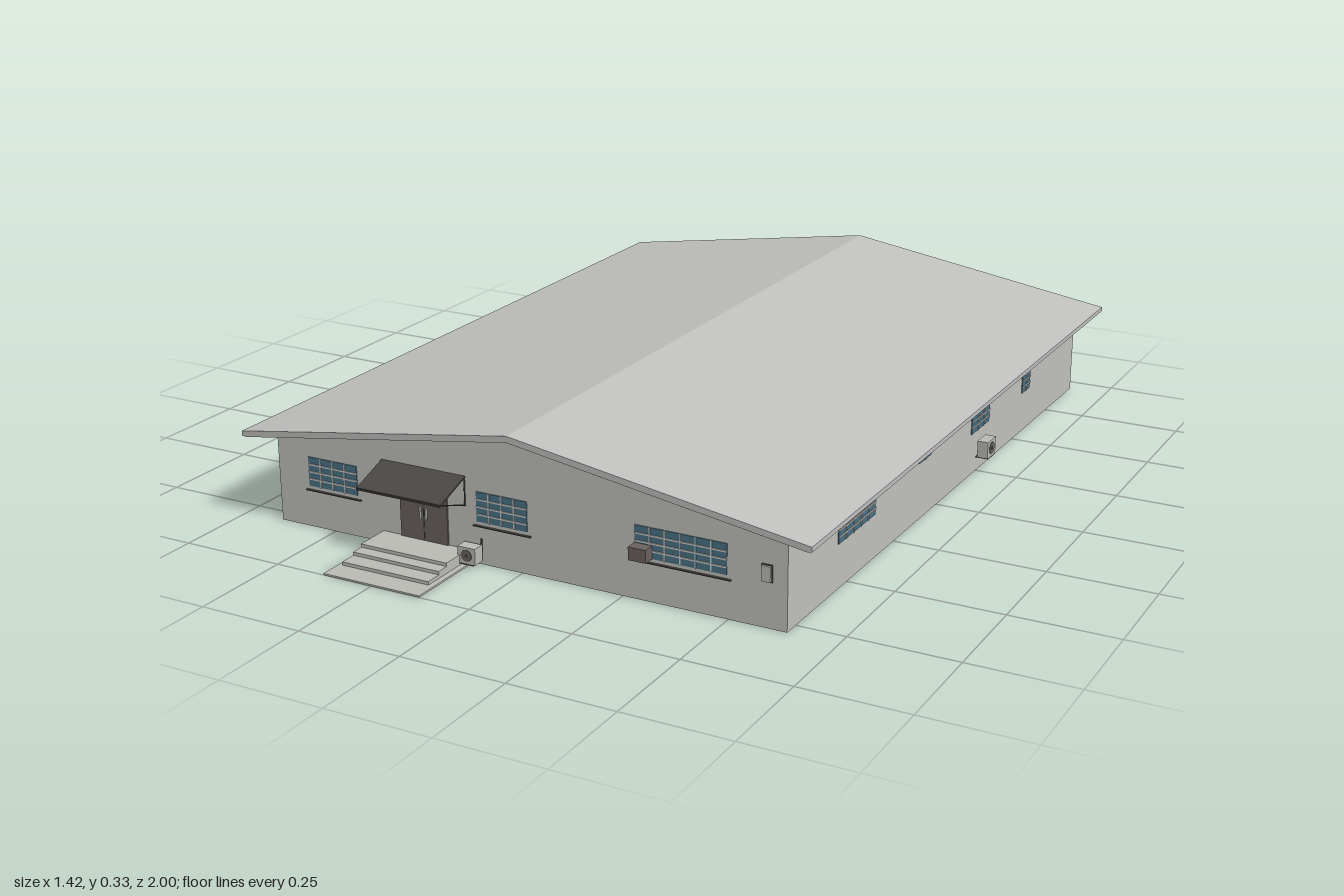
import * as THREE from 'three';

const mat = (name, color) => new THREE.MeshStandardMaterial({ name, color });

export function createModel() {
  const M = {
    wall: mat('wall grey', 0xc3c3bf),
    roof: mat('roof grey', 0xc2c2c1),
    glass: mat('window blue', 0x4a7488),
    frame: mat('frame light grey', 0xcfd0cc),
    door: mat('door brown', 0x6b6460),
    dark: mat('dark metal', 0x4c4846),
    unit: mat('cooler grey', 0xbdbdb8),
  };
  const model = new THREE.Group();
  const FRONT = 0.79, BACK = -0.945, LEFT = 0.635, TAPER = 0.0098;

  const add = (parent, name, geo, material, x = 0, y = 0, z = 0) => {
    const m = new THREE.Mesh(geo, material);
    m.name = name;
    m.position.set(x, y, z);
    parent.add(m);
    return m;
  };
  // Box given by its limits on each axis
  const box = (parent, name, material, x0, x1, y0, y1, z0, z1) =>
    add(parent, name, new THREE.BoxGeometry(x1 - x0, y1 - y0, z1 - z0), material,
      (x0 + x1) / 2, (y0 + y1) / 2, (z0 + z1) / 2);
  // Thin rod between two points
  const rod = (parent, name, a, b, r = 0.0015) => {
    const p = new THREE.Vector3(...a), q = new THREE.Vector3(...b);
    const m = add(parent, name, new THREE.CylinderGeometry(r, r, p.distanceTo(q), 6), M.dark);
    m.position.copy(p).add(q).multiplyScalar(0.5);
    m.quaternion.setFromUnitVectors(new THREE.Vector3(0, 1, 0), q.sub(p).normalize());
  };
  const prism = (points, depth) => new THREE.ExtrudeGeometry(
    new THREE.Shape(points.map(p => new THREE.Vector2(...p))), { depth, bevelEnabled: false });

  // Gabled walls; the +x wall tapers in toward the front
  const walls = prism([[-0.65, 0], [0.652, 0], [0.652, 0.217], [0, 0.318], [-0.65, 0.217]], FRONT - BACK);
  walls.translate(0, 0, BACK);
  const pos = walls.attributes.position;
  for (let i = 0; i < pos.count; i++)
    if (pos.getX(i) > 0.6 && pos.getZ(i) > 0) pos.setX(i, LEFT);
  walls.computeVertexNormals();
  add(model, 'walls', walls, M.wall);

  // Overhanging roof
  const roof = prism([[-0.71, 0.212], [-0.7, 0.21], [0, 0.318], [0.7, 0.21], [0.71, 0.212],
    [0.71, 0.223], [0, 0.333], [-0.71, 0.223]], 1.84);
  add(model, 'roof', roof, M.roof, 0, 0, -1);

  // Wall-mounted frames of reference: local +z points out of the wall
  const onWall = (name, side, along, y) => {
    const g = new THREE.Group();
    g.name = name;
    if (side === 'front') g.position.set(along, y, FRONT);
    if (side === 'back') { g.position.set(along, y, BACK); g.rotation.y = Math.PI; }
    if (side === 'left') {
      g.position.set(LEFT + (FRONT - along) * TAPER, y, along);
      g.rotation.y = Math.PI / 2 - TAPER;
    }
    if (side === 'right') { g.position.set(-0.65, y, along); g.rotation.y = -Math.PI / 2; }
    model.add(g);
    return g;
  };

  // Barred windows: glass plate with a light grid
  const makeWindow = (side, a, b, cols, rows = 4, y0 = 0.1, y1 = 0.17) => {
    const w = b - a, h = y1 - y0;
    const g = onWall('window', side, (a + b) / 2, (y0 + y1) / 2);
    box(g, 'glass', M.glass, -w / 2, w / 2, -h / 2, h / 2, -0.002, 0.002);
    for (let i = 1; i < cols; i++) {
      const x = -w / 2 + w * i / cols;
      box(g, 'mullion', M.frame, x - 0.0015, x + 0.0015, -h / 2, h / 2, 0, 0.004);
    }
    for (let i = 1; i < rows; i++) {
      const y = -h / 2 + h * i / rows;
      box(g, 'glazingBar', M.frame, -w / 2, w / 2, y - 0.0018, y + 0.0018, 0, 0.004);
    }
    return g;
  };
  for (const [a, b, n] of [[-0.565, -0.432, 4], [-0.114, 0.015, 4], [0.28, 0.497, 6]]) {
    makeWindow('front', a, b, n);
    box(model, 'windowSill', M.dark, a - 0.008, b + 0.01, 0.089, 0.0915, FRONT, FRONT + 0.006);
  }
  for (const [a, b, n] of [[0.36, 0.55, 5], [-0.325, -0.21, 3], [-0.61, -0.555, 2]])
    makeWindow('left', a, b, n, 4, 0.105, 0.167);
  makeWindow('left', 0.045, 0.115, 2, 3, 0.14, 0.178);
  for (const [a, b] of [[-0.77, -0.655], [-0.44, -0.29], [-0.04, 0.12], [0.37, 0.53]])
    makeWindow('right', a, b, 4, 4, 0.105, 0.17);

  // Front double door with handles
  box(model, 'frontDoor', M.door, -0.315, -0.19, 0.028, 0.168, FRONT - 0.002, FRONT + 0.004);
  box(model, 'doorSeam', M.dark, -0.2535, -0.2515, 0.028, 0.168, FRONT, FRONT + 0.005);
  for (const x of [-0.26, -0.245])
    box(model, 'doorHandle', M.frame, x - 0.0015, x + 0.0015, 0.08, 0.108, FRONT, FRONT + 0.009);

  // Back door and rows of small wall pins
  box(model, 'backDoor', M.door, -0.037, 0.03, 0.005, 0.16, BACK - 0.006, BACK + 0.002);
  for (const start of [-0.43, 0.27])
    for (let i = 0; i < 5; i++) {
      const x = start + i * 0.037;
      box(model, 'wallPin', M.dark, x - 0.003, x + 0.003, 0.088, 0.092, BACK - 0.004, BACK);
    }

  // Sloping awning with braces
  const awning = box(model, 'awning', M.dark, -0.362, -0.142, 0, 0.004, -0.053, 0.053);
  awning.position.set(-0.252, 0.181, 0.838);
  awning.rotation.x = 0.34;
  box(model, 'awningEdge', M.dark, -0.362, -0.142, 0.161, 0.167, 0.885, 0.888);
  for (const x of [-0.361, -0.143]) {
    rod(model, 'awningBrace', [x, 0.165, 0.886], [x, 0.132, FRONT]);
    rod(model, 'awningPost', [x, 0.132, FRONT + 0.002], [x, 0.2, FRONT + 0.002]);
  }

  // Entrance steps, low paving first
  for (const [x0, x1, h, z] of [[-0.376, -0.126, 0.004, 1], [-0.366, -0.14, 0.012, 0.945],
    [-0.366, -0.14, 0.02, 0.905], [-0.366, -0.14, 0.028, 0.875]])
    box(model, 'entranceStep', M.unit, x0, x1, 0, h, FRONT - 0.01, z);

  // Cooling units with round fan grilles
  const cooler = (side, along, y, w, h, d) => {
    const g = onWall('coolingUnit', side, along, y);
    box(g, 'coolerCase', M.unit, -w / 2, w / 2, -h / 2, h / 2, 0.006, d);
    box(g, 'coolerBracket', M.dark, -w * 0.4, w * 0.4, -h / 2 - 0.003, -h / 2, 0, d);
    const fan = add(g, 'fanGrille', new THREE.CylinderGeometry(h * 0.36, h * 0.36, 0.003, 20), M.door, 0, 0, d);
    fan.rotation.x = Math.PI / 2;
    const hub = add(g, 'fanHub', new THREE.CylinderGeometry(h * 0.1, h * 0.1, 0.005, 12), M.dark, 0, 0, d);
    hub.rotation.x = Math.PI / 2;
  };
  cooler('left', -0.267, 0.059, 0.052, 0.042, 0.033);
  cooler('right', 0.257, 0.077, 0.052, 0.036, 0.033);
  cooler('front', -0.122, 0.03, 0.045, 0.038, 0.035);
  rod(model, 'coolerPipe', [-0.102, 0.03, FRONT + 0.004], [-0.102, 0.062, FRONT + 0.004], 0.002);

  // Window cooler box and small wall cabinet
  box(model, 'windowCooler', M.door, 0.28, 0.322, 0.1, 0.13, FRONT, FRONT + 0.03);
  box(model, 'cabinetBack', M.dark, 0.576, 0.601, 0.104, 0.143, FRONT, FRONT + 0.003);
  box(model, 'wallCabinet', M.unit, 0.578, 0.599, 0.106, 0.141, FRONT, FRONT + 0.008);
  return model;
}
